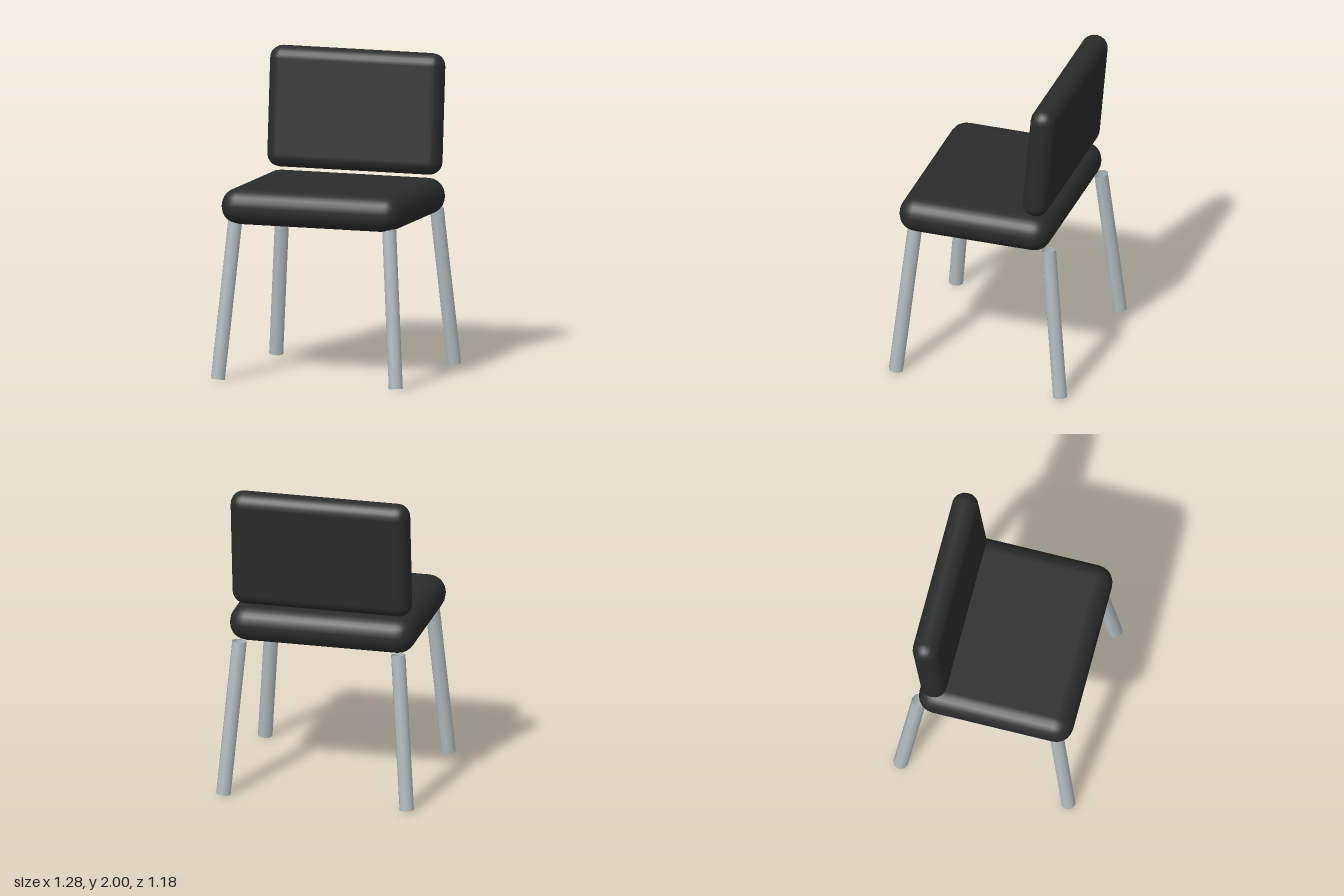
import * as THREE from 'three';
import { RoundedBoxGeometry } from 'three/addons/geometries/RoundedBoxGeometry.js';

export function createModel() {
  const chair = new THREE.Group();
  chair.name = 'chair';

  const padding = new THREE.MeshStandardMaterial({ color: 0x2a2b2b });
  const metal = new THREE.MeshStandardMaterial({ color: 0xb2bdbf, side: THREE.DoubleSide });

  // Padded cushion with rounded edges
  function cushion(name, size, radius, position) {
    const mesh = new THREE.Mesh(new RoundedBoxGeometry(...size, 3, radius), padding);
    mesh.name = name;
    mesh.position.set(...position);
    chair.add(mesh);
    return mesh;
  }

  cushion('seat', [1.2, 0.23, 1.0], 0.11, [0, 1.1, 0.05]);

  // Backrest leans slightly backwards
  const backrest = cushion('backrest', [1.16, 0.768, 0.168], 0.082, [0, 1.617, -0.38]);
  backrest.rotation.x = -THREE.MathUtils.degToRad(5);

  // Splayed open tube legs, one per corner
  const up = new THREE.Vector3(0, 1, 0);
  for (const [zName, sz] of [['front', 1], ['back', -1]]) {
    for (const [xName, sx] of [['Left', 1], ['Right', -1]]) {
      const foot = new THREE.Vector3(0.595 * sx, 0.007, 0.545 * sz);
      const top = new THREE.Vector3(0.515 * sx, 1.006, 0.445 * sz);
      const axis = top.clone().sub(foot);
      const leg = new THREE.Mesh(
        new THREE.CylinderGeometry(0.047, 0.047, axis.length(), 8, 1, true), metal);
      leg.name = zName + xName + 'Leg';
      leg.position.copy(foot).add(top).multiplyScalar(0.5);
      leg.quaternion.setFromUnitVectors(up, axis.normalize());
      chair.add(leg);
    }
  }

  return chair;
}
